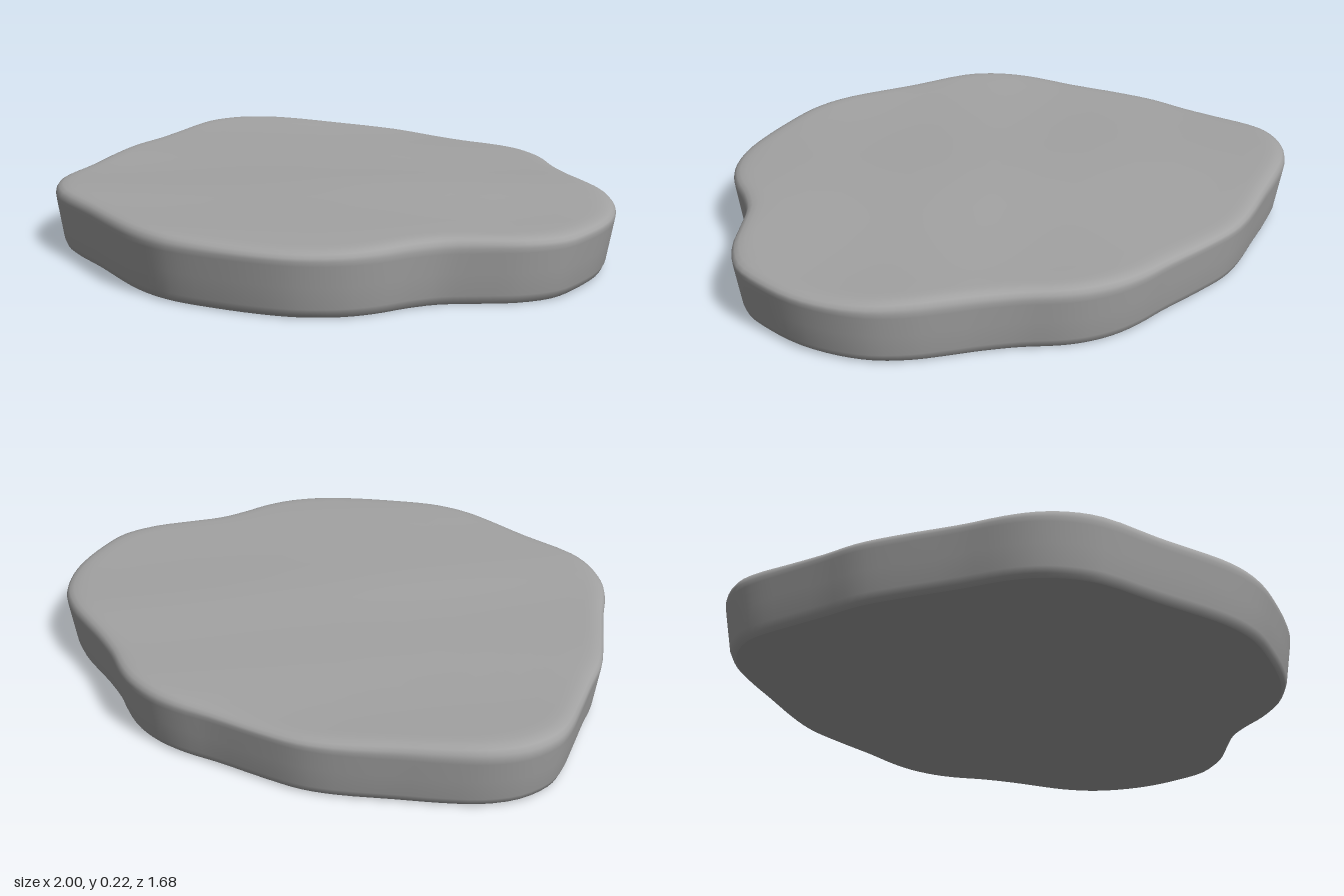
import * as THREE from 'three';

// Plan outline of the slab (x, z), starting at the back and going round by the left (+x)
const OUTLINE = [
  [0.1, -0.845], [0.2, -0.83], [0.28, -0.8], [0.38, -0.745], [0.5, -0.695], [0.6, -0.662], [0.7, -0.625],
  [0.8, -0.565], [0.88, -0.48], [0.945, -0.37], [0.985, -0.24], [1, -0.12], [0.96, 0], [0.89, 0.1],
  [0.82, 0.2], [0.785, 0.3], [0.762, 0.41], [0.72, 0.51], [0.64, 0.61], [0.54, 0.685], [0.4, 0.762],
  [0.28, 0.815], [0.19, 0.835], [0.1, 0.84], [0, 0.832], [-0.17, 0.81], [-0.38, 0.79], [-0.48, 0.75],
  [-0.56, 0.69], [-0.62, 0.615], [-0.69, 0.49], [-0.8, 0.31], [-0.86, 0.2], [-0.9, 0.08], [-0.95, -0.06],
  [-0.99, -0.18], [-1, -0.26], [-0.97, -0.37], [-0.9, -0.46], [-0.8, -0.535], [-0.68, -0.61],
  [-0.52, -0.71], [-0.42, -0.755], [-0.3, -0.782], [-0.12, -0.812], [0, -0.838],
];

// Rim profile from the foot to the centre: [outline scale, height]
const PROFILE = [
  [0.953, 0], [0.966, 0.01], [0.975, 0.03], [0.987, 0.1], [0.998, 0.165], [1, 0.18], [0.997, 0.192],
  [0.988, 0.203], [0.972, 0.209], [0.95, 0.212], [0.92, 0.213], [0.85, 0.213], [0.75, 0.213],
  [0.62, 0.213], [0.48, 0.213], [0.34, 0.213], [0.2, 0.213], [0.08, 0.213],
];

const SEGMENTS = 138;

// Gentle unevenness of the worn top
const bumps = (x, z) =>
  0.004 * Math.sin(4.1 * x + 1.3 * z + 0.6) + 0.004 * Math.sin(5.3 * z - 2.2 * x + 1.9) + 0.002 * Math.sin(9 * x + 7 * z);

function buildGeometry(positions, index) {
  const geometry = new THREE.BufferGeometry();
  geometry.setAttribute('position', new THREE.Float32BufferAttribute(positions, 3));
  geometry.setIndex(index);
  geometry.computeVertexNormals();
  return geometry;
}

export function createModel() {
  const group = new THREE.Group();
  group.name = 'steppingStone';
  const stone = new THREE.MeshStandardMaterial({ color: 0xa3a3a3 });
  stone.name = 'grey stone';

  const curve = new THREE.CatmullRomCurve3(OUTLINE.map(([x, z]) => new THREE.Vector3(x, 0, z)), true);
  const ring = curve.getPoints(SEGMENTS).slice(0, SEGMENTS);

  // Sides, rounded rim and top in one smooth skin
  const positions = [];
  const index = [];
  PROFILE.forEach(([scale, height], j) => {
    const amount = THREE.MathUtils.smoothstep(height, 0.17, 0.212);
    ring.forEach((p, i) => {
      const x = p.x * scale, z = p.z * scale;
      positions.push(x, height + amount * bumps(x, z), z);
      if (j === 0) return;
      const next = (i + 1) % SEGMENTS;
      const a = (j - 1) * SEGMENTS + i, b = (j - 1) * SEGMENTS + next;
      const c = j * SEGMENTS + i, d = j * SEGMENTS + next;
      index.push(a, c, b, b, c, d);
    });
  });
  const last = (PROFILE.length - 1) * SEGMENTS;
  const centre = positions.length / 3;
  positions.push(0, 0.213 + bumps(0, 0), 0);
  for (let i = 0; i < SEGMENTS; i++) index.push(last + i, centre, last + (i + 1) % SEGMENTS);
  const body = new THREE.Mesh(buildGeometry(positions, index), stone);
  body.name = 'slabBody';

  // Flat underside with its own sharp edge
  const basePositions = [0, 0, 0];
  const baseIndex = [];
  ring.forEach((p, i) => {
    basePositions.push(p.x * PROFILE[0][0], 0, p.z * PROFILE[0][0]);
    baseIndex.push(i + 1, (i + 1) % SEGMENTS + 1, 0);
  });
  const base = new THREE.Mesh(buildGeometry(basePositions, baseIndex), stone);
  base.name = 'underside';

  group.add(body, base);
  return group;
}
